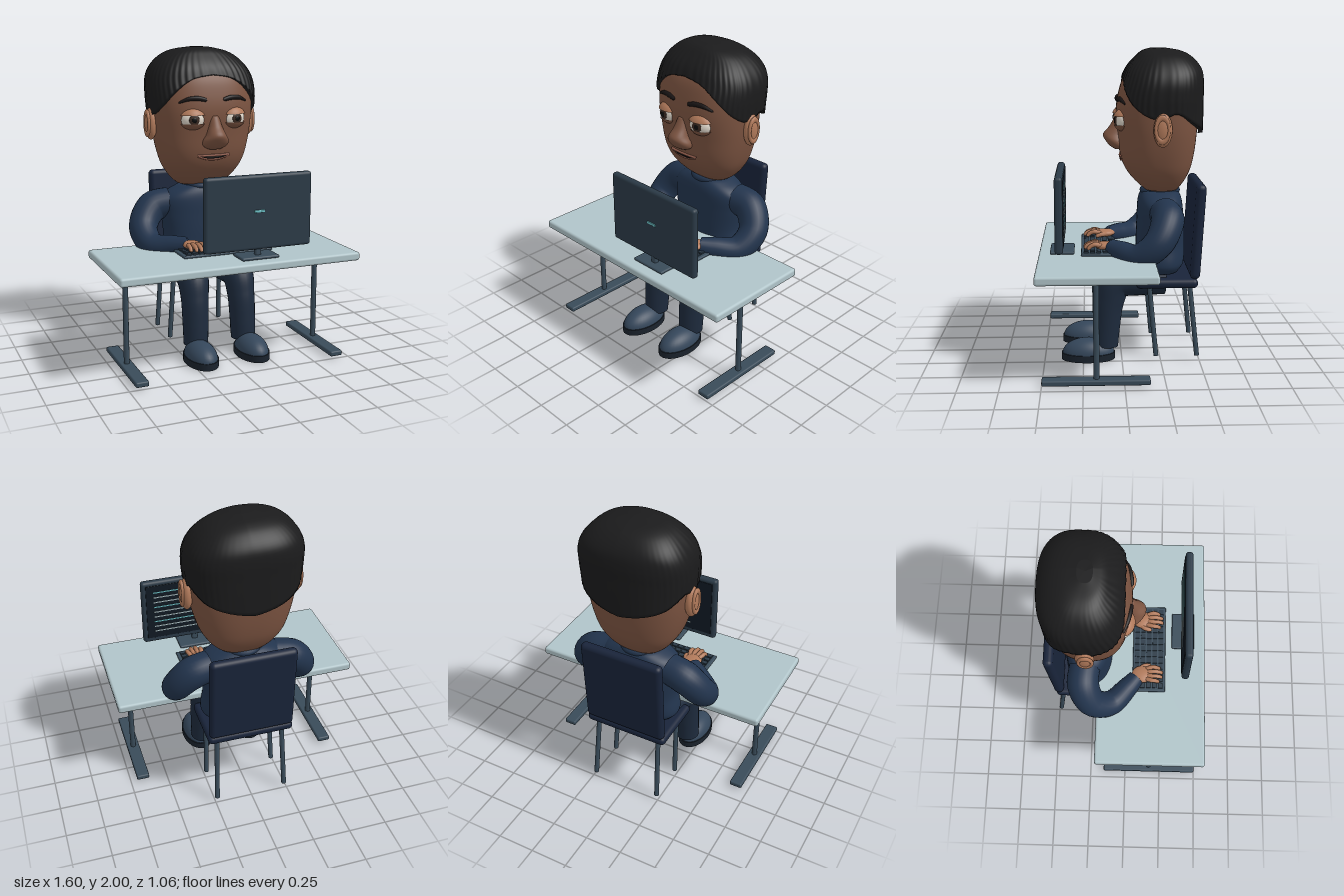
import * as THREE from 'three';
import { RoundedBoxGeometry } from 'three/addons/geometries/RoundedBoxGeometry.js';

const V = (x, y, z) => new THREE.Vector3(x, y, z);
const mat = (color) => new THREE.MeshStandardMaterial({ color });
const M = {
  skin: mat(0x7c5441), light: mat(0xb0795a), hair: mat(0x1b1b1c), shirt: mat(0x22344d), trousers: mat(0x1d2a3c),
  chair: mat(0x19243a), metal: mat(0x394b59), desk: mat(0xb0c4c9), dark: mat(0x2b3a47), screen: mat(0x111a24),
  glow: mat(0x6fc6cc), shoe: mat(0x34465a), sole: mat(0x1a222c), white: mat(0xe0d8cc), iris: mat(0x3a2a22),
  black: mat(0x0c0c0c), lip: mat(0x96604f), brow: mat(0x181414),
};

// Horizontal cross-sections: [y, front z, back z, half width]
const HEAD = [[1.08, -0.2, -0.33, 0.09], [1.1, -0.15, -0.37, 0.16], [1.2, -0.05, -0.435, 0.248], [1.3, 0.0, -0.465, 0.29],
  [1.45, 0.02, -0.485, 0.322], [1.6, 0.032, -0.492, 0.335], [1.72, 0.015, -0.495, 0.335], [1.82, -0.02, -0.485, 0.31],
  [1.9, -0.09, -0.45, 0.25], [1.95, -0.16, -0.38, 0.15]];
const HAIR = [[1.44, 0.03, -0.522, 0.34], [1.6, 0.042, -0.525, 0.352], [1.7, 0.032, -0.525, 0.36], [1.8, 0.0, -0.525, 0.355],
  [1.88, -0.035, -0.508, 0.32], [1.95, -0.095, -0.445, 0.25], [1.985, -0.14, -0.37, 0.17], [2.0, -0.19, -0.28, 0.07]];
const HAIRLINE = [[0, 1.825], [0.3, 1.8], [0.7, 1.72], [1.1, 1.63], [1.5, 1.57], [1.8, 1.6], [2.3, 1.535], [Math.PI, 1.455]];
const TORSO = [[0.57, -0.13, -0.38, 0.24], [0.62, -0.105, -0.41, 0.272], [0.75, -0.1, -0.415, 0.255], [0.9, -0.105, -0.41, 0.27],
  [1.0, -0.11, -0.4, 0.27], [1.05, -0.12, -0.39, 0.22], [1.09, -0.14, -0.37, 0.13]];
const NOSE = [[1.355, 0.04, -0.03, 0.045], [1.375, 0.07, -0.03, 0.078], [1.41, 0.1, -0.03, 0.085], [1.45, 0.115, -0.03, 0.062],
  [1.5, 0.075, -0.03, 0.045], [1.57, 0.035, -0.03, 0.03]];

// Smooth interpolation of a table whose first column is the key
function sample(rows, key) {
  let i = 0;
  while (i < rows.length - 2 && key > rows[i + 1][0]) i++;
  const a = rows[i], b = rows[i + 1], p = rows[i - 1] || a, n = rows[i + 2] || b;
  const h = b[0] - a[0], t = THREE.MathUtils.clamp((key - a[0]) / h, 0, 1), t2 = t * t, t3 = t2 * t;
  return a.map((v, c) => {
    const m0 = (b[c] - p[c]) / (b[0] - p[0]), m1 = (n[c] - v) / (n[0] - a[0]);
    return v * (2 * t3 - 3 * t2 + 1) + b[c] * (3 * t2 - 2 * t3) + h * (m0 * (t3 - 2 * t2 + t) + m1 * (t3 - t2));
  });
}

const signedPow = (v, e) => Math.sign(v) * Math.abs(v) ** e;
function sectionPoint(rows, y, angle, e, k = 1) {
  const [, f, b, w] = sample(rows, y);
  return V(k * w * signedPow(Math.sin(angle), e), y, (f + b) / 2 + k * (f - b) / 2 * signedPow(Math.cos(angle), e));
}
function faceZ(x, y) {
  const [, f, b, w] = sample(HEAD, y);
  return (f + b) / 2 + (f - b) / 2 * (1 - (Math.abs(x) / w) ** 2.5) ** 0.4;
}

// Closed rings stacked upwards from fn(row, angle)
function rings(fn, nr, ns) {
  const pos = [], idx = [];
  for (let r = 0; r <= nr; r++) for (let s = 0; s < ns; s++) {
    pos.push(...fn(r, s / ns * Math.PI * 2).toArray());
    if (r === nr) continue;
    const a = r * ns + s, b = r * ns + (s + 1) % ns;
    idx.push(a, b, a + ns, b, b + ns, a + ns);
  }
  const g = new THREE.BufferGeometry();
  g.setAttribute('position', new THREE.Float32BufferAttribute(pos, 3));
  g.setIndex(idx);
  g.computeVertexNormals();
  return g;
}
function loft(rows, e, nr = 40, ns = 64) {
  const y0 = rows[0][0], y1 = rows[rows.length - 1][0];
  return rings((r, a) => {
    const t = THREE.MathUtils.clamp((r - 1) / (nr - 2), 0, 1);
    return sectionPoint(rows, y0 + (y1 - y0) * t, a, e, r === 0 || r === nr ? 0 : 1);
  }, nr, ns);
}

// Tube whose radius follows a list along its length
function limb(points, radii, seg = 32, sides = 20) {
  const curve = new THREE.CatmullRomCurve3(points.map((p) => V(...p)));
  const g = new THREE.TubeGeometry(curve, seg, 1, sides), p = g.attributes.position;
  const q = V(0, 0, 0), c = V(0, 0, 0);
  for (let i = 0; i <= seg; i++) {
    const t = curve.getUtoTmapping(i / seg) * (radii.length - 1), k = Math.min(Math.floor(t), radii.length - 2);
    const rad = i === 0 || i === seg ? 0.001 : THREE.MathUtils.lerp(radii[k], radii[k + 1], t - k);
    curve.getPointAt(i / seg, c);
    for (let j = 0; j <= sides; j++) {
      const n = i * (sides + 1) + j;
      q.fromBufferAttribute(p, n).sub(c).multiplyScalar(rad).add(c);
      p.setXYZ(n, q.x, q.y, q.z);
    }
  }
  return g;
}

export function createModel() {
  const model = new THREE.Group();
  const add = (name, geo, material, pos = [0, 0, 0], parent = model) => {
    const m = new THREE.Mesh(geo, material);
    m.name = name;
    m.position.set(...pos);
    parent.add(m);
    return m;
  };
  const box = (name, size, pos, material, r = 0.01, parent = model) =>
    add(name, new RoundedBoxGeometry(...size, 3, Math.min(r, Math.min(...size) * 0.49)), material, pos, parent);
  const ball = (name, size, pos, material, parent = model) => {
    const m = add(name, new THREE.SphereGeometry(1, 32, 20), material, pos, parent);
    m.scale.set(...size);
    return m;
  };
  const rod = (name, a, b, r, material) => add(name, new THREE.TubeGeometry(new THREE.LineCurve3(V(...a), V(...b)), 1, r, 14), material);

  // Desk
  box('deskTop', [1.6, 0.055, 0.73], [0, 0.683, 0.165], M.desk, 0.016);
  // Monitor with stand, screen and lines of light
  box('monitorBody', [0.727, 0.475, 0.05], [0.135, 1.003, 0.393], M.dark, 0.02);
  box('monitorScreen', [0.67, 0.41, 0.006], [0.135, 1.008, 0.367], M.screen, 0.002);
  box('monitorLight', [0.07, 0.016, 0.008], [0.135, 1.013, 0.419], M.glow, 0.003);
  box('monitorNeck', [0.04, 0.08, 0.035], [0.135, 0.75, 0.393], M.metal);
  box('monitorBase', [0.255, 0.02, 0.155], [0.132, 0.722, 0.38], M.metal);
  for (let i = 0; i < 9; i++) {
    const len = 0.28 + 0.26 * ((i * 5) % 7) / 7;
    box('screenLine', [len, 0.009, 0.006], [0.42 - len / 2, 1.16 - i * 0.038, 0.364], i % 3 ? M.desk : M.glow, 0.002);
  }
  // Keyboard
  box('keyboard', [0.61, 0.018, 0.22], [0, 0.718, 0.15], M.metal, 0.008);
  for (let r = 0; r < 5; r++) for (let c = 0; c < 13; c++)
    add('key', new THREE.BoxGeometry(0.036, 0.012, 0.03), M.dark, [(c - 6) * 0.044, 0.731, 0.068 + r * 0.04]);

  // Chair
  box('chairSeat', [0.57, 0.06, 0.395], [0, 0.518, -0.287], M.chair, 0.028);
  box('chairBack', [0.56, 0.61, 0.065], [0, 0.85, -0.482], M.chair, 0.03).rotation.x = -0.06;

  // Torso and head
  add('torso', loft(TORSO, 0.85), M.shirt);
  const collar = add('collar', new THREE.TorusGeometry(0.11, 0.022, 12, 40), M.shirt, [0, 1.085, -0.255]);
  collar.rotation.x = Math.PI / 2;
  add('head', loft(HEAD, 0.8, 48, 80), M.skin);
  add('nose', loft(NOSE, 0.95, 24, 32), M.skin);
  // Hair: a ridged cap from the hairline up to the crown
  add('hair', rings((r, a) => {
    const edge = sample(HAIRLINE, a > Math.PI ? 2 * Math.PI - a : a)[1], nr = 36;
    const t = Math.sin(THREE.MathUtils.clamp((r - 1) / (nr - 2), 0, 1) * Math.PI / 2);
    const ridge = 1 + 0.009 * Math.sin(a * 46 + t * 3) * (0.55 + 0.45 * Math.cos(a)) * (1 - t * t);
    const p = sectionPoint(HAIR, edge + (2 - edge) * t, a, 0.76, r === nr ? 0 : r === 0 ? 0.9 : ridge);
    p.y -= 0.09 * Math.max(0, p.x - 0.02) * t;
    return p;
  }, 36, 276), M.hair);
  // Mouth
  const lip = (name, bow, y, r, material) => add(name, new THREE.TubeGeometry(new THREE.CatmullRomCurve3(
    [-0.11, -0.055, 0, 0.055, 0.11].map((x) => {
      const h = y - bow * (1 - (x / 0.11) ** 2);
      return V(x, h, faceZ(x, h) + 0.002);
    })), 24, r, 8), material);
  lip('upperLip', 0.002, 1.313, 0.008, M.lip);
  lip('mouthGap', 0.013, 1.311, 0.008, M.black);
  lip('lowerLip', 0.026, 1.312, 0.009, M.lip);

  for (const s of [-1, 1]) {
    // Desk and chair legs
    rod('deskLeg', [s * 0.665, 0.03, 0.17], [s * 0.665, 0.66, 0.17], 0.018, M.metal);
    box('deskFoot', [0.085, 0.034, 0.655], [s * 0.665, 0.03, 0.172], M.metal);
    rod('chairFrontLeg', [s * 0.22, 0.5, -0.175], [s * 0.235, 0.03, -0.22], 0.016, M.metal);
    rod('chairBackLeg', [s * 0.22, 0.5, -0.435], [s * 0.235, 0.03, -0.485], 0.016, M.metal);
    // Ear
    ball('ear', [0.038, 0.105, 0.058], [s * 0.345, 1.505, -0.245], M.light);
    const rim = add('earRim', new THREE.TorusGeometry(0.04, 0.011, 10, 28), M.light, [s * 0.372, 1.51, -0.24]);
    rim.rotation.y = Math.PI / 2;
    rim.scale.y = 1.8;
    // Eye with lids and brow
    const eye = new THREE.Group();
    eye.name = 'eye';
    eye.position.set(s * 0.14, 1.548, -0.012);
    eye.rotation.y = s * 0.15;
    model.add(eye);
    ball('eyeball', [0.08, 0.066, 0.055], [0, 0, 0], M.white, eye);
    ball('iris', [0.034, 0.034, 0.008], [0, 0, 0.05], M.iris, eye);
    ball('pupil', [0.017, 0.017, 0.005], [0, 0, 0.056], M.black, eye);
    const lid = new THREE.SphereGeometry(1, 32, 10, 0, Math.PI * 2, 0, 1.2);
    add('upperLid', lid, M.light, [0, 0, 0], eye).scale.set(0.09, 0.078, 0.067);
    const lower = add('lowerLid', lid, M.skin, [0, 0, 0], eye);
    lower.scale.set(0.088, 0.07, 0.064);
    lower.rotation.z = Math.PI;
    add('eyebrow', limb([[0.055, 1.67], [0.11, 1.682], [0.17, 1.68], [0.235, 1.655]].map(([x, y]) => [s * x, y, faceZ(x, y) + 0.002]),
      [0.012, 0.016, 0.014, 0.006], 20, 10), M.brow);
    // Arm and hand
    add('arm', limb([[s * 0.2, 0.97, -0.27], [s * 0.33, 0.94, -0.28], [s * 0.415, 0.82, -0.22], [s * 0.39, 0.725, -0.1], [s * 0.28, 0.735, 0.01], [s * 0.205, 0.748, 0.075]],
      [0.1, 0.105, 0.095, 0.083, 0.068, 0.052], 48, 24), M.shirt);
    ball('palm', [0.06, 0.026, 0.07], [s * 0.195, 0.757, 0.105], M.light);
    for (let i = 0; i < 4; i++) {
      const x = s * (0.148 + i * 0.031), reach = [0.225, 0.243, 0.24, 0.22][i];
      add('finger', limb([[x * 0.6 + s * 0.078, 0.757, 0.12], [x, 0.772, 0.17], [x, 0.764, reach - 0.025], [x, 0.74, reach]], [0.016, 0.015, 0.014, 0.011], 16, 10), M.light);
    }
    add('thumb', limb([[s * 0.17, 0.755, 0.08], [s * 0.135, 0.757, 0.12], [s * 0.127, 0.745, 0.165]], [0.018, 0.016, 0.012], 14, 10), M.light);
    // Leg and shoe
    add('leg', limb([[s * 0.125, 0.515, -0.29], [s * 0.145, 0.515, -0.12], [s * 0.16, 0.5, 0.03], [s * 0.165, 0.38, 0.075], [s * 0.168, 0.22, 0.095], [s * 0.17, 0.07, 0.105]],
      [0.1, 0.1, 0.104, 0.09, 0.085, 0.08], 48, 24), M.trousers);
    const upper = add('shoeUpper', new THREE.SphereGeometry(1, 32, 12, 0, Math.PI * 2, 0, Math.PI / 2), M.shoe, [s * 0.18, 0.04, 0.218]);
    upper.scale.set(0.098, 0.098, 0.168);
    const sole = add('shoeSole', new THREE.CylinderGeometry(1, 1, 0.045, 40), M.sole, [s * 0.18, 0.0225, 0.218]);
    sole.scale.set(0.104, 1, 0.174);
  }
  return model;
}
